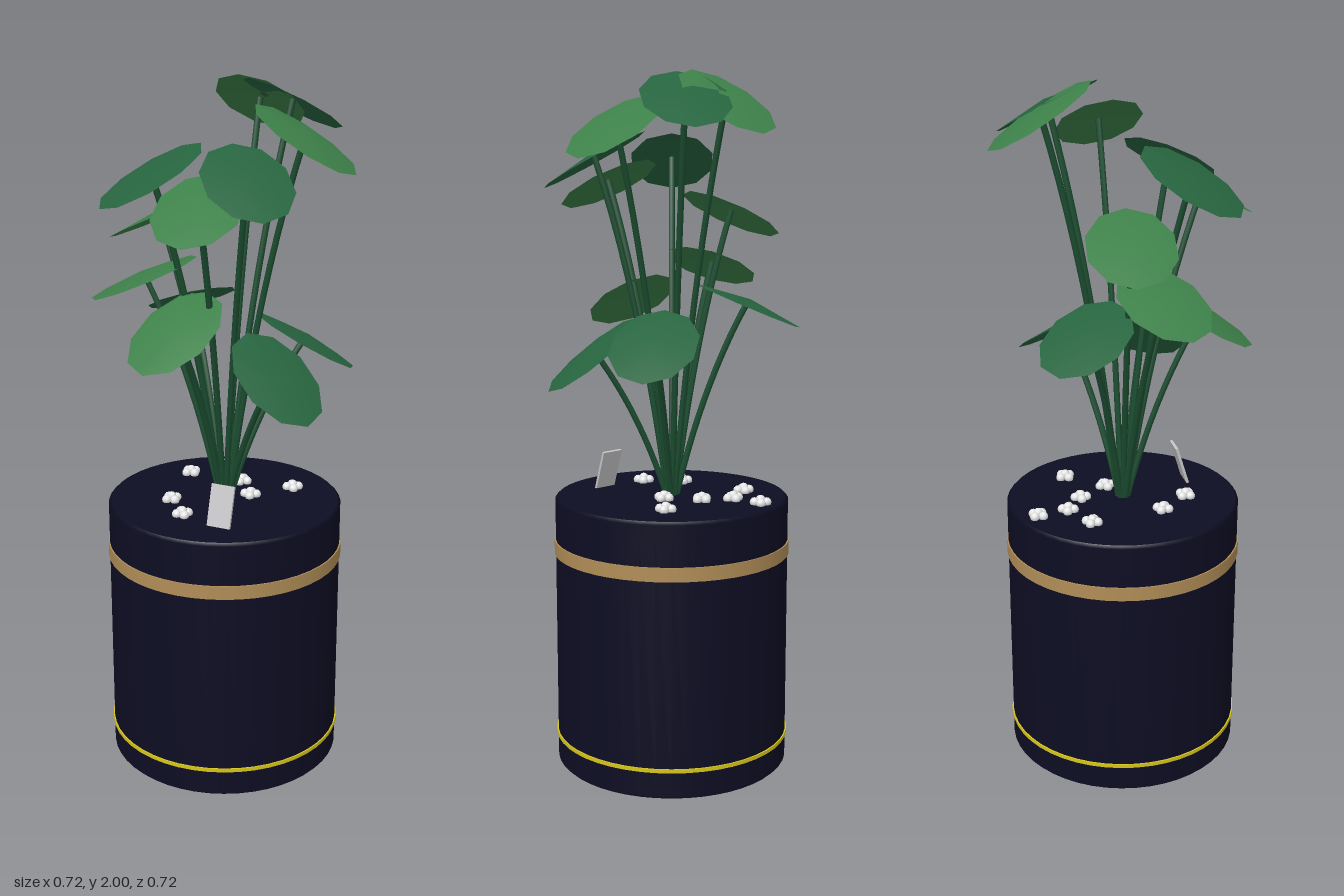
import * as THREE from 'three';

const mat = (name, color, side = THREE.FrontSide) => {
  const m = new THREE.MeshStandardMaterial({ color, side });
  m.name = name;
  return m;
};

export function createModel() {
  const navy = mat('navy glaze', 0x0d0d23);
  const bronze = mat('bronze', 0xb08d57);
  const yellow = mat('yellow', 0xd6c51c);
  const stemGreen = mat('stem green', 0x1b4d30);
  const lightLeaf = mat('light leaf green', 0x3d8049, THREE.DoubleSide);
  const deepLeaf = mat('deep leaf green', 0x27643f, THREE.DoubleSide);
  const white = mat('stone white', 0xe6e6e6);
  const grey = mat('tag grey', 0xc4c4c6);

  const model = new THREE.Group();
  const CX = 0.01, CZ = 0.01; // pot axis
  const add = (name, geometry, material, x, y, z, parent = model) => {
    const mesh = new THREE.Mesh(geometry, material);
    mesh.name = name;
    mesh.position.set(x, y, z);
    parent.add(mesh);
    return mesh;
  };
  const v = (x, y, z) => new THREE.Vector3(x, y, z);

  // Pot: bevelled closed drum, split into wall and caps for crisp edges
  const wall = [[0.331, 0], [0.339, 0.008], [0.339, 0.788], [0.331, 0.796]]
    .map(([r, y]) => new THREE.Vector2(r, y));
  add('potWall', new THREE.LatheGeometry(wall, 48), navy, CX, 0, CZ);
  const cap = new THREE.CircleGeometry(0.331, 48);
  add('potTop', cap, navy, CX, 0.796, CZ).rotation.x = -Math.PI / 2;
  add('potBase', cap, navy, CX, 0, CZ).rotation.x = Math.PI / 2;

  // Decorative bands
  add('bronzeBand', new THREE.CylinderGeometry(0.343, 0.343, 0.04, 48), bronze, CX, 0.65, CZ);
  add('yellowBand', new THREE.CylinderGeometry(0.343, 0.343, 0.011, 48), yellow, CX, 0.085, CZ);

  // Leaf blade: ten-sided oval, gently domed, tip along z
  const blade = new THREE.CircleGeometry(1, 10, Math.PI / 2);
  blade.rotateX(-Math.PI / 2);
  blade.scale(0.124, 1, 0.165);
  blade.attributes.position.setY(0, 0.02);
  blade.computeVertexNormals();

  // Leaf centres (x, y, z), droop in radians, colour
  const leaves = [
    [-0.09, 1.91, -0.19, 0.56, lightLeaf],
    [0.03, 1.915, -0.21, 0.49, deepLeaf],
    [0.2, 1.845, -0.115, 0.55, lightLeaf],
    [0.215, 1.755, 0.09, 0.5, deepLeaf],
    [-0.045, 1.75, 0.215, 0.5, deepLeaf],
    [0.15, 1.685, 0.2, 0.45, lightLeaf],
    [-0.19, 1.6, 0.09, 0.43, lightLeaf],
    [-0.155, 1.445, 0.17, 0.4, lightLeaf],
    [-0.205, 1.345, -0.03, 0.4, deepLeaf],
    [0.075, 1.345, 0.225, 0.54, lightLeaf],
    [0.115, 1.26, -0.2, 0.53, deepLeaf],
    [0.24, 1.215, 0.005, 0.66, deepLeaf],
  ];
  leaves.forEach(([x, y, z, droop, material]) => {
    const dx = x - CX, dz = z - CZ, h = y - 0.78;
    const leaf = add('leaf', blade, material, x, y, z);
    leaf.rotation.set(droop, Math.atan2(dx, dz), 0, 'YXZ');

    // Stem arching from the pot centre to the leaf
    const path = new THREE.QuadraticBezierCurve3(
      v(CX + dx * 0.05, 0.78, CZ + dz * 0.05),
      v(CX + dx * 0.4, 0.78 + h * 0.6, CZ + dz * 0.4),
      v(x, y + 0.012, z));
    add('stem', new THREE.TubeGeometry(path, 12, 0.009, 6), stemGreen, 0, 0, 0);
  });

  // Clusters of small white stones on the soil
  const bead = new THREE.IcosahedronGeometry(0.014, 1);
  const stones = [[-0.2, -0.02], [-0.2, -0.18], [0.08, -0.19], [0.05, -0.055],
    [-0.05, -0.1], [-0.14, -0.11], [-0.06, 0.15], [0.05, 0.19]];
  stones.forEach(([x, z], i) => {
    const cluster = new THREE.Group();
    cluster.name = 'stoneCluster';
    cluster.position.set(x, 0.803, z);
    cluster.rotation.y = i * 1.3;
    add('stone', bead, white, 0, 0.007, 0, cluster);
    for (let k = 0; k < 4; k++) {
      const a = (k / 4) * Math.PI * 2;
      add('stone', bead, white, Math.cos(a) * 0.017, 0, Math.sin(a) * 0.017, cluster);
    }
    model.add(cluster);
  });

  // Blank plant tag leaning back in the soil
  const tag = add('plantTag', new THREE.BoxGeometry(0.07, 0.14, 0.008), grey, 0.171, 0.842, 0.145);
  tag.rotation.set(-0.3, 0.5, 0, 'YXZ');

  return model;
}
